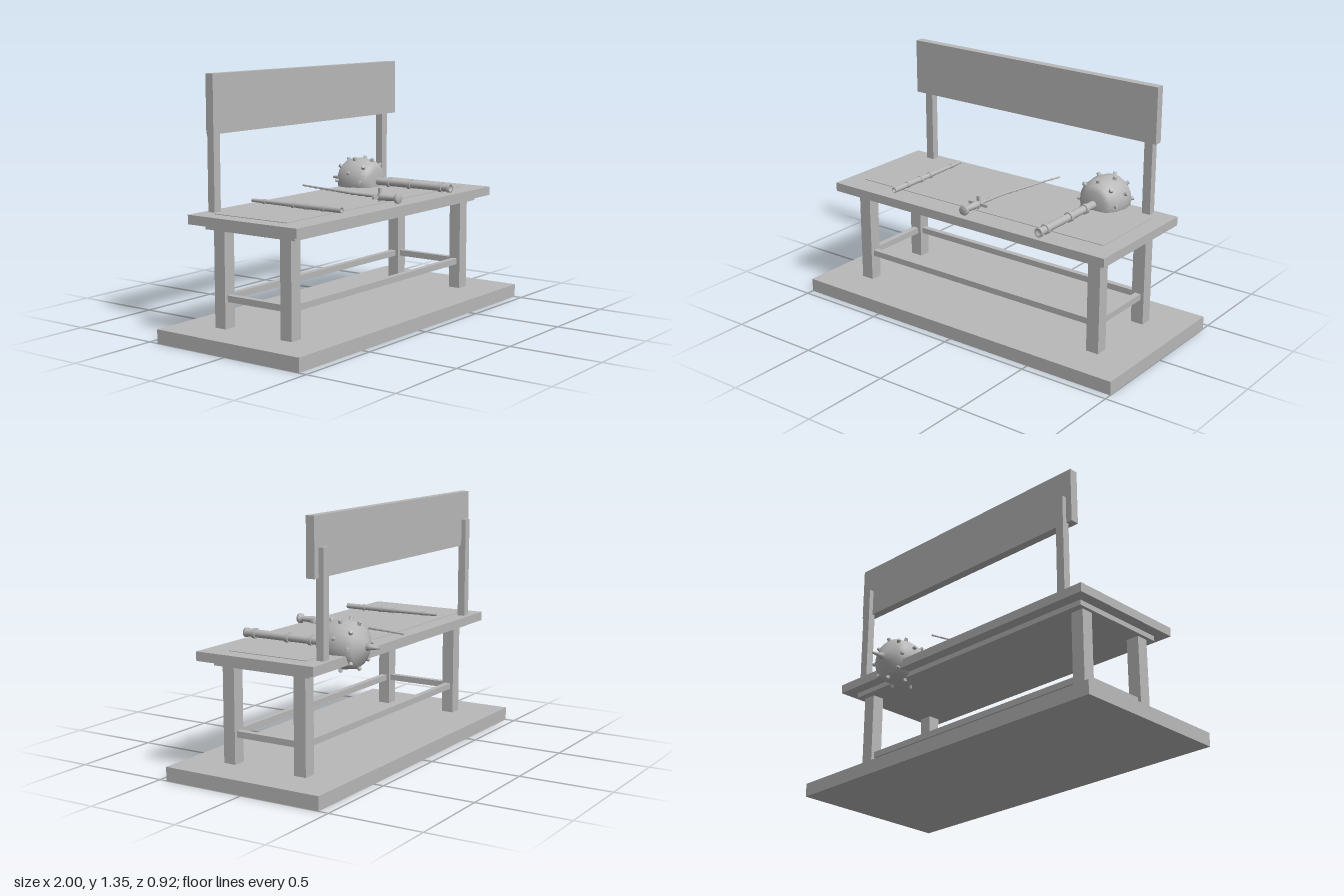
import * as THREE from 'three';

const grey = new THREE.MeshStandardMaterial({ color: 0xb8b8b8 });
grey.name = 'plain grey';

function add(parent, name, geometry) {
  const mesh = new THREE.Mesh(geometry, grey);
  mesh.name = name;
  parent.add(mesh);
  return mesh;
}

// Box given by its limits on each axis
function box(parent, name, x0, x1, y0, y1, z0, z1) {
  const mesh = add(parent, name, new THREE.BoxGeometry(x1 - x0, y1 - y0, z1 - z0));
  mesh.position.set((x0 + x1) / 2, (y0 + y1) / 2, (z0 + z1) / 2);
  return mesh;
}

// Turned part lying along z; profile is [z, radius] from back to front
function turned(parent, name, profile, segments = 16) {
  const points = profile.map(([z, r]) => new THREE.Vector2(r, z));
  return add(parent, name, new THREE.LatheGeometry(points, segments).rotateX(Math.PI / 2));
}

// Ring band on a shaft, centred at z
function band(parent, name, z, r, length) {
  const mesh = add(parent, name, new THREE.CylinderGeometry(r, r, length, 16).rotateX(Math.PI / 2));
  mesh.position.z = z;
  return mesh;
}

function makeMace() {
  const mace = new THREE.Group();
  mace.name = 'mace';
  turned(mace, 'maceShaft', [[-0.16, 0], [-0.16, 0.021], [0.325, 0.021], [0.325, 0.025],
    [0.34, 0.025], [0.34, 0.016], [0.33, 0.014], [0.33, 0]]);
  for (const z of [0.28, 0.075, -0.065]) band(mace, 'maceBand', z, 0.027, 0.02);
  turned(mace, 'maceHead', [[-0.395, 0], [-0.395, 0.03], [-0.36, 0.095], [-0.335, 0.116], [-0.27, 0.126],
    [-0.2, 0.118], [-0.165, 0.095], [-0.145, 0.07], [-0.145, 0]], 20);
  turned(mace, 'maceSpike', [[-0.46, 0], [-0.46, 0.006], [-0.42, 0.012], [-0.39, 0.022], [-0.39, 0]], 12);
  // Staggered rows of studs around the head
  const rows = [[-0.345, 0.108, -0.6, 0], [-0.27, 0.126, 0, 0.5], [-0.19, 0.113, 0.55, 0]];
  for (const [z, r, lean, shift] of rows) {
    for (let i = 0; i < 8; i++) {
      const a = (i + shift) * Math.PI / 4;
      const dir = new THREE.Vector3(Math.cos(a) * Math.cos(lean), Math.sin(a) * Math.cos(lean), Math.sin(lean));
      const stud = add(mace, 'maceStud', new THREE.CylinderGeometry(0.009, 0.014, 0.03, 8));
      stud.position.set(Math.cos(a) * r, Math.sin(a) * r, z);
      stud.quaternion.setFromUnitVectors(new THREE.Vector3(0, 1, 0), dir);
    }
  }
  mace.position.set(0.48, 0.682, 0);
  return mace;
}

function makeDagger() {
  const dagger = new THREE.Group();
  dagger.name = 'dagger';
  turned(dagger, 'daggerGrip', [[0.2, 0], [0.2, 0.018], [0.225, 0.02], [0.305, 0.014], [0.315, 0.026],
    [0.325, 0.028], [0.335, 0.024], [0.335, 0]]).position.x = -0.003;
  box(dagger, 'daggerGuard', -0.062, 0.058, -0.008, 0.008, 0.2, 0.214);
  box(dagger, 'daggerGuardProng', -0.007, 0.007, -0.025, 0.045, 0.2, 0.214);
  // Stepped blade following a gentle curve
  const path = new THREE.CatmullRomCurve3([[0, 0.21], [0.015, 0], [0.03, -0.065], [0.055, -0.185],
    [0.075, -0.285], [0.1, -0.38]].map(([x, z]) => new THREE.Vector3(x, 0, z)));
  const count = 12;
  for (let i = 0; i < count; i++) {
    const a = path.getPointAt(i / count), b = path.getPointAt((i + 1) / count);
    const w = 0.011 - 0.006 * i / count;
    const piece = add(dagger, 'bladeSection',
      new THREE.CylinderGeometry(w, w * 0.7, a.distanceTo(b) + 0.006, 6).rotateX(Math.PI / 2));
    piece.position.copy(a).lerp(b, 0.5);
    piece.lookAt(b);
  }
  dagger.position.y = 0.682;
  return dagger;
}

function makeBaton() {
  const baton = new THREE.Group();
  baton.name = 'baton';
  turned(baton, 'batonShaft', [[-0.25, 0], [-0.25, 0.009], [0.03, 0.013], [0.06, 0.015],
    [0.32, 0.015], [0.32, 0.011], [0.31, 0.01], [0.31, 0]]);
  for (const [z, r] of [[0.21, 0.018], [0.1, 0.018], [0.02, 0.017], [-0.17, 0.013]]) band(baton, 'batonBand', z, r, 0.016);
  baton.rotation.y = 0.01;
  baton.position.set(-0.488, 0.682, 0);
  return baton;
}

export function createModel() {
  const model = new THREE.Group();
  model.name = 'displayBench';

  // Plinth and table
  box(model, 'plinth', -1, 1, 0, 0.073, -0.447, 0.458);
  box(model, 'tableTop', -0.88, 0.875, 0.6, 0.648, -0.338, 0.353);
  box(model, 'underPlate', -0.82, 0.812, 0.573, 0.602, -0.275, 0.293);
  box(model, 'inlay', -0.79, 0.785, 0.646, 0.651, -0.24, 0.22);

  // Legs and stretchers
  for (const [x0, x1] of [[-0.8, -0.728], [0.72, 0.792]]) {
    for (const [z0, z1] of [[0.186, 0.254], [-0.237, -0.169]]) box(model, 'leg', x0, x1, 0.07, 0.58, z0, z1);
    const x = (x0 + x1) / 2;
    box(model, 'sideStretcher', x - 0.017, x + 0.017, 0.21, 0.243, -0.17, 0.187);
  }
  for (const z of [0.22, -0.203]) box(model, 'longStretcher', -0.73, 0.722, 0.21, 0.243, z - 0.016, z + 0.016);

  // Back board on two posts
  box(model, 'backPost', -0.755, -0.708, 0.64, 1.193, -0.314, -0.272);
  box(model, 'backPost', 0.7, 0.748, 0.64, 1.193, -0.314, -0.272);
  box(model, 'backBoard', -0.79, 0.785, 1.046, 1.345, -0.288, -0.241);

  // Items laid out on the table
  model.add(makeMace(), makeDagger(), makeBaton());
  return model;
}
